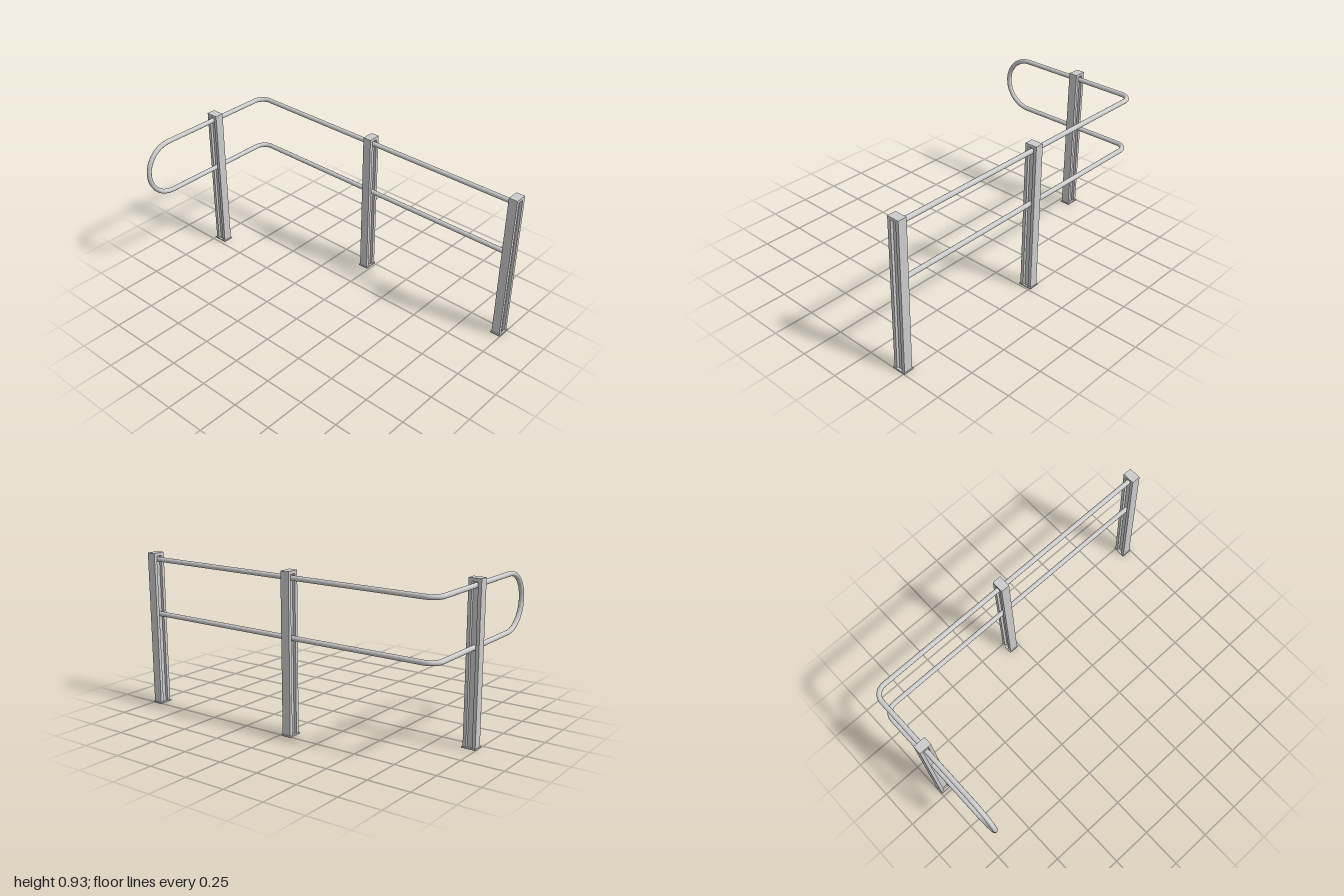
import * as THREE from 'three';
import { mergeGeometries } from 'three/addons/utils/BufferGeometryUtils.js';

const material = new THREE.MeshStandardMaterial({ color: 0xcccccc });

const W = 0.038, D = 0.027;          // post half width and half depth
const TOP = 0.933, CAP = 0.018, PLATE = 0.008;
const RAIL_X = 0.465, RAIL_Z = -0.957, FRONT_Z = 0.967;
const UPPER = 0.893, LOWER = 0.56, PIPE = 0.0145;

// Circular arc: centre + u cos(a) + v sin(a), for a from 0 to sweep
class ArcCurve extends THREE.Curve {
  constructor(centre, u, v, sweep) {
    super();
    Object.assign(this, { centre, u, v, sweep });
  }
  getPoint(t, target = new THREE.Vector3()) {
    const a = t * this.sweep;
    return target.copy(this.centre)
      .addScaledVector(this.u, Math.cos(a))
      .addScaledVector(this.v, Math.sin(a));
  }
}

const vec = (x, y, z) => new THREE.Vector3(x, y, z);

function rectPoints(hw, hd) {
  return [[-hw, -hd], [hw, -hd], [hw, hd], [-hw, hd]].map(([x, y]) => new THREE.Vector2(x, y));
}

// Extrude a plan shape upwards from height y
function extrudeUp(shape, y, height) {
  return new THREE.ExtrudeGeometry(shape, { depth: height, bevelEnabled: false })
    .rotateX(-Math.PI / 2).translate(0, y, 0);
}

function mesh(name, geometry) {
  const m = new THREE.Mesh(geometry, material);
  m.name = name;
  return m;
}

// Post with a recessed channel on two faces, closed top and open base flange
function createPost(name, x, z, turn = 0) {
  const post = new THREE.Group();
  post.name = name;

  const s = 0.018, web = 0.01;       // half slot width, half web thickness
  const section = new THREE.Shape([
    [-W, -D], [-s, -D], [-s, -web], [s, -web], [s, -D], [W, -D],
    [W, D], [s, D], [s, web], [-s, web], [-s, D], [-W, D],
  ].map(([px, py]) => new THREE.Vector2(px, py)));
  post.add(mesh('postColumn', extrudeUp(section, 0, TOP - CAP)));

  const cap = new THREE.BoxGeometry(2 * W, CAP, 2 * D).translate(0, TOP - CAP / 2, 0);
  post.add(mesh('postCap', cap));

  const flange = new THREE.Shape(rectPoints(W + 0.005, D + 0.006));
  flange.holes.push(new THREE.Path(rectPoints(W - 0.012, D - 0.008)));
  post.add(mesh('baseFlange', extrudeUp(flange, 0, PLATE)));

  post.position.set(x, 0, z);
  post.rotation.y = turn;
  return post;
}

// Straight run, rounded corner and side run at one height
function railPieces(y, endX) {
  const r = 0.07;
  return [
    [new THREE.LineCurve3(vec(RAIL_X, y, FRONT_Z - 0.005), vec(RAIL_X, y, RAIL_Z + r)), 1],
    [new ArcCurve(vec(RAIL_X - r, y, RAIL_Z + r), vec(r, 0, 0), vec(0, 0, -r), Math.PI / 2), 8],
    [new THREE.LineCurve3(vec(RAIL_X - r, y, RAIL_Z), vec(endX, y, RAIL_Z)), 1],
  ];
}

function createRail() {
  const r = (UPPER - LOWER) / 2;
  const endX = -0.497 + r;
  // Half-round return joining the two heights
  const loop = new ArcCurve(vec(endX, LOWER + r, RAIL_Z), vec(0, r, 0), vec(-r, 0, 0), Math.PI);
  const pieces = [...railPieces(UPPER, endX), [loop, 14], ...railPieces(LOWER, endX)];
  return mesh('handrail', mergeGeometries(
    pieces.map(([curve, n]) => new THREE.TubeGeometry(curve, n, PIPE, 16))));
}

export function createModel() {
  const model = new THREE.Group();
  model.name = 'guardRail';
  model.add(
    createPost('frontPost', RAIL_X, FRONT_Z),
    createPost('middlePost', RAIL_X, -0.044),
    createPost('backPost', 0.053, RAIL_Z, Math.PI / 2),
    createRail(),
  );
  return model;
}
